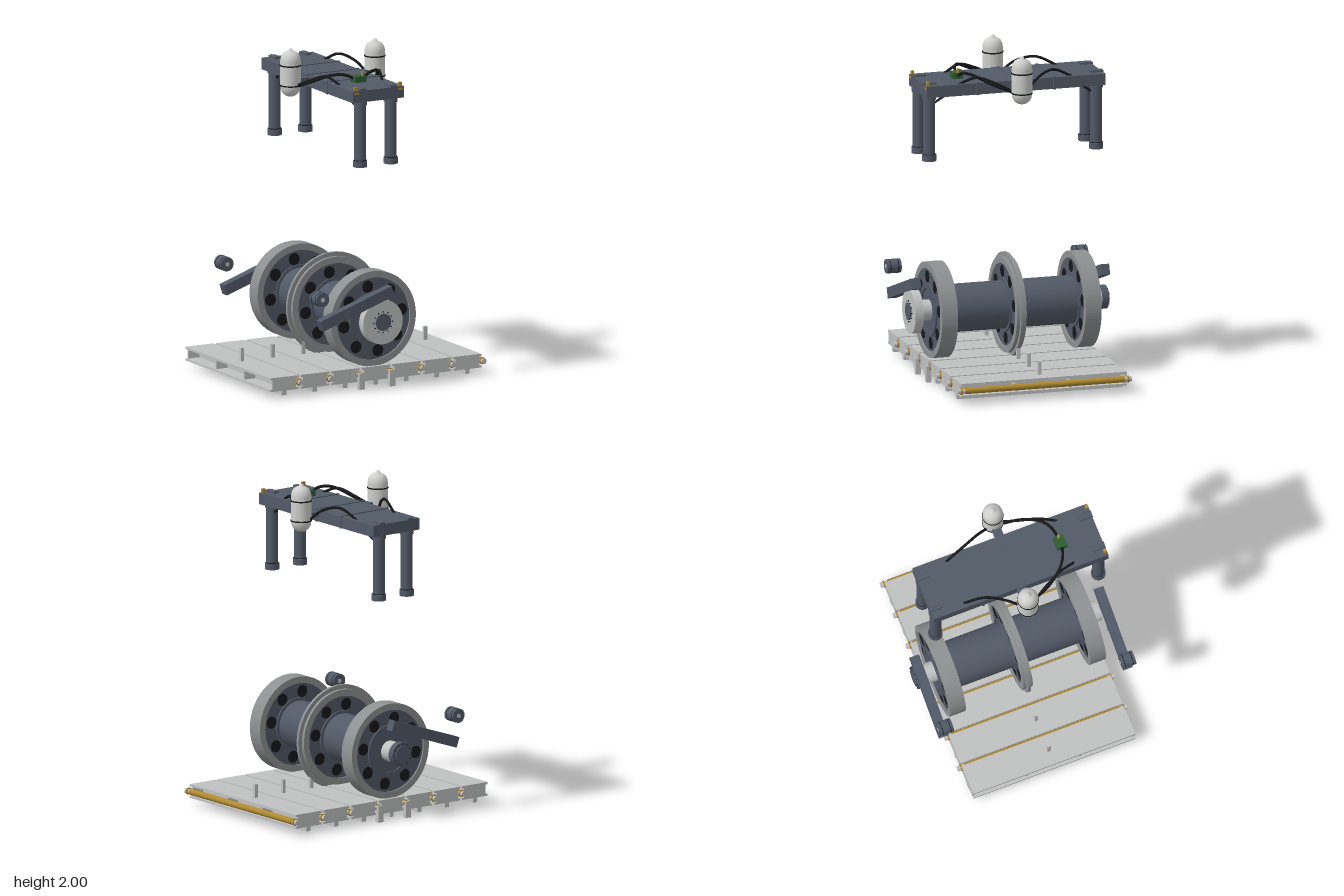
import * as THREE from 'three';

const mat = (name, color) => {
  const m = new THREE.MeshStandardMaterial({ color });
  m.name = name;
  return m;
};

export function createModel() {
  const root = new THREE.Group();
  const plateGrey = mat('plateGrey', 0xc0c2c1);
  const rimGrey = mat('rimGrey', 0x8e9192);
  const slate = mat('slate', 0x525a67);
  const black = mat('black', 0x17181a);
  const brass = mat('brass', 0xb08a30);
  const green = mat('green', 0x2f5c33);
  const tankGrey = mat('tankGrey', 0xcfcfcd);

  const group = (name, parent = root) => {
    const g = new THREE.Group();
    g.name = name;
    parent.add(g);
    return g;
  };
  const add = (parent, name, geo, m, x = 0, y = 0, z = 0) => {
    const mesh = new THREE.Mesh(geo, m);
    mesh.name = name;
    mesh.position.set(x, y, z);
    parent.add(mesh);
    return mesh;
  };
  const box = (p, name, m, w, h, d, x, y, z) => add(p, name, new THREE.BoxGeometry(w, h, d), m, x, y, z);
  const cylY = (p, name, m, r, h, x, y, z) => add(p, name, new THREE.CylinderGeometry(r, r, h, 32), m, x, y, z);
  // Cylinder lying along z
  const cylZ = (p, name, m, r, d, x, y, z, seg = 32) =>
    add(p, name, new THREE.CylinderGeometry(r, r, d, seg).rotateX(Math.PI / 2), m, x, y, z);
  // Flat ring along z
  const ringZ = (p, name, m, r0, r1, d, x, y, z) => {
    const s = new THREE.Shape().absarc(0, 0, r1, 0, Math.PI * 2);
    s.holes.push(new THREE.Path().absarc(0, 0, r0, 0, Math.PI * 2, true));
    const geo = new THREE.ExtrudeGeometry(s, { depth: d, bevelEnabled: false, curveSegments: 48 });
    return add(p, name, geo.translate(0, 0, -d / 2), m, x, y, z);
  };

  // Track: seven hollow plates joined by pins
  const track = group('track');
  const pitch = 0.209;
  for (let i = 0; i < 7; i++) {
    const x = -0.637 + i * pitch, w = 0.192;
    const link = group('trackLink', track);
    box(link, 'topSheet', plateGrey, w, 0.014, 1.04, x, 0.121, 0);
    box(link, 'bottomSheet', plateGrey, w, 0.012, 1.04, x, 0.05, 0);
    for (const z of [-0.514, -0.17, 0.17, 0.514])
      box(link, 'rib', plateGrey, w - 0.03, 0.06, 0.012, x, 0.085, z);
    box(link, 'web', plateGrey, 0.012, 0.06, 1.02, x, 0.085, 0);
    box(link, 'grouser', plateGrey, 0.03, 0.03, 1.04, x, 0.031, 0);
    if (i !== 3) box(link, 'guideTooth', plateGrey, 0.022, 0.085, 0.02, x, 0.167, 0);
    const px = x + pitch / 2 - 0.003;
    cylZ(link, 'pin', plateGrey, 0.014, 1.09, px, 0.085, 0, 20);
    cylZ(link, 'bushing', brass, 0.019, 1.0, px, 0.085, 0, 24);
    for (const s of [-1, 1]) {
      cylZ(link, 'pinRing', brass, 0.021, 0.01, px, 0.085, s * 0.522, 20);
      cylZ(link, 'pinEnd', plateGrey, 0.016, 0.024, px, 0.085, s * 0.533, 20);
      if (i === 2 || i === 3) box(link, 'endConnector', plateGrey, 0.037, 0.1, 0.03, px, 0.05, s * 0.53);
    }
  }

  // Wheel set
  const cx = -0.015, cy = 0.415;
  const wheels = group('wheelSet');
  wheels.position.set(cx, cy, 0);
  cylZ(wheels, 'drum', slate, 0.145, 0.86, 0, 0, 0, 48);
  const wheel = (name, z, depth) => {
    const g = group(name, wheels);
    g.position.z = z;
    ringZ(g, 'rim', rimGrey, 0.25, 0.29, depth, 0, 0, 0);
    cylZ(g, 'disc', slate, 0.251, depth - 0.02, 0, 0, 0, 48);
    ringZ(g, 'discCollar', slate, 0.13, 0.162, depth, 0, 0, 0);
    for (let k = 0; k < 8; k++) {
      const a = (100 + 45 * k) * Math.PI / 180;
      cylZ(g, 'lighteningHole', black, 0.037, depth - 0.016, 0.2 * Math.cos(a), 0.2 * Math.sin(a), 0, 24);
    }
  };
  wheel('frontWheel', 0.45, 0.1);
  wheel('backWheel', -0.45, 0.1);
  wheel('centreWheel', 0, 0.06);
  ringZ(wheels, 'guideFlange', rimGrey, 0.28, 0.315, 0.02, 0, 0, 0);

  // Hubs: wide flange at the front only
  for (const s of [-1, 1]) {
    cylZ(wheels, 'axleStub', plateGrey, 0.0625, 0.1, 0, 0, s * 0.53);
    cylZ(wheels, 'axleCap', slate, 0.052, 0.05, 0, 0, s * 0.6);
    for (let k = 0; k < 12; k++) {
      const a = k * Math.PI / 6;
      cylZ(wheels, 'hubBolt', black, 0.004, 0.01, 0.064 * Math.cos(a), 0.064 * Math.sin(a), s * 0.616, 8);
    }
  }
  cylZ(wheels, 'frontHubFlange', plateGrey, 0.135, 0.052, 0, 0, 0.591, 48);
  cylZ(wheels, 'backHubFlange', slate, 0.072, 0.04, 0, 0, -0.596);

  // Swing arms and rollers on both ends
  for (const s of [-1, 1]) {
    const g = group(s > 0 ? 'frontArm' : 'backArm');
    const arm = box(g, 'swingArm', slate, 0.515, 0.065, 0.056, -0.19, 0.515, s * 0.592);
    arm.rotation.z = Math.atan2(0.17, 0.49);
    cylZ(g, 'roller', slate, 0.043, 0.086, -0.433, 0.595, s * 0.585);
    for (const e of [-1, 1]) cylZ(g, 'rollerGroove', black, 0.0436, 0.004, -0.433, 0.595, s * 0.585 + e * 0.025);
    cylZ(g, 'rollerPin', plateGrey, 0.013, 0.09, -0.433, 0.595, s * 0.585, 16);
  }

  // Raised deck
  const deck = group('deck');
  box(deck, 'deckSlab', slate, 0.35, 0.07, 1.12, -0.015, 1.795, 0);
  for (const z of [-0.24, 0, 0.24]) box(deck, 'deckStrap', slate, 0.358, 0.078, 0.016, -0.015, 1.796, z);
  box(deck, 'tankBracket', slate, 0.5, 0.03, 0.055, -0.015, 1.805, 0);

  // Legs with collars, feet and top mounts
  for (const x of [-0.12, 0.09]) for (const s of [-1, 1]) {
    const z = s * 0.523;
    const leg = group('leg', deck);
    cylY(leg, 'legTube', slate, 0.036, 0.4, x, 1.57, z);
    cylY(leg, 'legCollar', slate, 0.042, 0.025, x, 1.75, z);
    cylY(leg, 'foot', slate, 0.043, 0.038, x, 1.379, z);
    cylY(leg, 'footSeam', black, 0.0375, 0.005, x, 1.4, z);
    box(leg, 'topMount', slate, 0.042, 0.012, 0.08, x, 1.835, z);
    cylZ(leg, 'mountBoss', slate, 0.018, 0.075, x, 1.826, z, 16);
  }
  for (const x of [-0.165, 0.138]) {
    box(deck, 'brassFitting', brass, 0.022, 0.025, 0.016, x, 1.842, 0.548);
    box(deck, 'brassPlate', brass, 0.03, 0.012, 0.006, x, 1.815, 0.56);
  }

  // Pressure tanks
  const tankProfile = [[0, -0.142], [0.026, -0.137], [0.046, -0.122], [0.058, -0.1], [0.062, -0.075],
    [0.062, 0.075], [0.058, 0.1], [0.046, 0.122], [0.026, 0.134], [0.013, 0.136], [0.013, 0.148], [0, 0.148]]
    .map(([r, y]) => new THREE.Vector2(r, y));
  for (const x of [-0.304, 0.273]) {
    const g = group('tank');
    g.position.set(x, 1.852, 0);
    add(g, 'tankBody', new THREE.LatheGeometry(tankProfile, 40), tankGrey);
    for (const y of [-0.072, 0.05]) cylY(g, 'tankBand', black, 0.0645, 0.008, 0, y, 0);
  }

  // Control valve
  const valve = group('valve');
  box(valve, 'valveBlock', green, 0.076, 0.036, 0.064, -0.017, 1.848, 0.318);
  cylY(valve, 'valveStem', brass, 0.009, 0.03, 0.01, 1.876, 0.318);

  // Hoses, mirrored about the deck centre line
  const hoses = group('hoses');
  const hose = (pts, r = 0.008) => {
    const curve = new THREE.CatmullRomCurve3(pts.map(p => new THREE.Vector3(...p)));
    add(hoses, 'hose', new THREE.TubeGeometry(curve, 40, r, 8), black);
  };
  for (const s of [-1, 1]) {
    const X = d => -0.015 + s * d;
    hose([[X(0.26), 1.78, 0.05], [X(0.225), 1.825, 0.16], [X(0.15), 1.875, 0.265],
      [X(0.08), 1.875, 0.305], [X(0.03), 1.85, 0.317]], 0.009);
    hose([[X(0.27), 1.785, 0.05], [X(0.225), 1.83, 0.14], [X(0.18), 1.865, 0.25], [X(0.14), 1.82, 0.36]]);
    hose([[X(0.26), 1.79, -0.05], [X(0.225), 1.85, -0.12], [X(0.175), 1.88, -0.23], [X(0.14), 1.82, -0.365]]);
    for (const e of [-1, 1])
      hose([[X(0.13), 1.765, e * 0.42], [X(0.115), 1.735, e * 0.46], [X(0.105), 1.695, e * 0.52]], 0.007);
  }
  return root;
}
